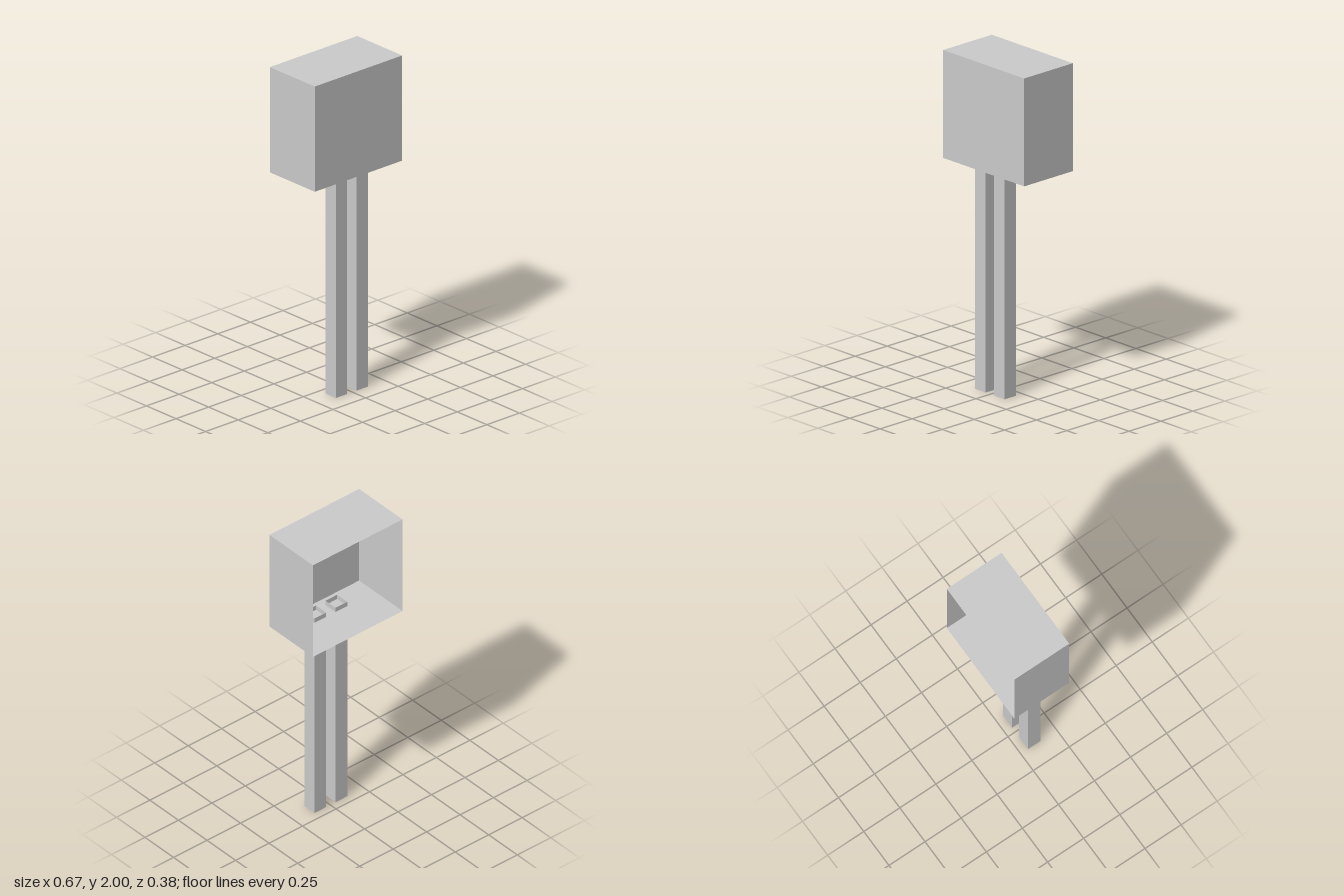
import * as THREE from 'three';

const W = 0.67, D = 0.38, TOP = 2, BASE = 1.35;

export function createModel() {
  const model = new THREE.Group();
  const material = new THREE.MeshStandardMaterial({
    color: 0xcccccc, flatShading: true, side: THREE.DoubleSide,
  });

  // Thin-walled housing, open at the back
  const housing = new THREE.Group();
  housing.name = 'housing';
  model.add(housing);
  const H = TOP - BASE, midY = (TOP + BASE) / 2;
  const panel = (name, w, h, position, rx = 0, ry = 0) => {
    const mesh = new THREE.Mesh(new THREE.PlaneGeometry(w, h), material);
    mesh.name = name;
    mesh.position.set(...position);
    mesh.rotation.set(rx, ry, 0);
    housing.add(mesh);
  };
  panel('frontPanel', W, H, [0, midY, D / 2]);
  panel('leftPanel', D, H, [W / 2, midY, 0], 0, Math.PI / 2);
  panel('rightPanel', D, H, [-W / 2, midY, 0], 0, -Math.PI / 2);
  panel('roof', W, D, [0, TOP, 0], -Math.PI / 2);
  panel('floor', W, D, [0, BASE, 0], Math.PI / 2);

  // Hollow square posts, open at both ends, poking up through the floor
  const side = 0.088, postHeight = BASE + 0.03;
  const post = new THREE.CylinderGeometry(side / Math.SQRT2, side / Math.SQRT2, postHeight, 4, 1, true);
  post.rotateY(Math.PI / 4);
  for (const [name, x] of [['leftPost', 0.075], ['rightPost', -0.083]]) {
    const mesh = new THREE.Mesh(post, material);
    mesh.name = name;
    mesh.position.set(x, postHeight / 2, 0.094);
    model.add(mesh);
  }
  return model;
}
